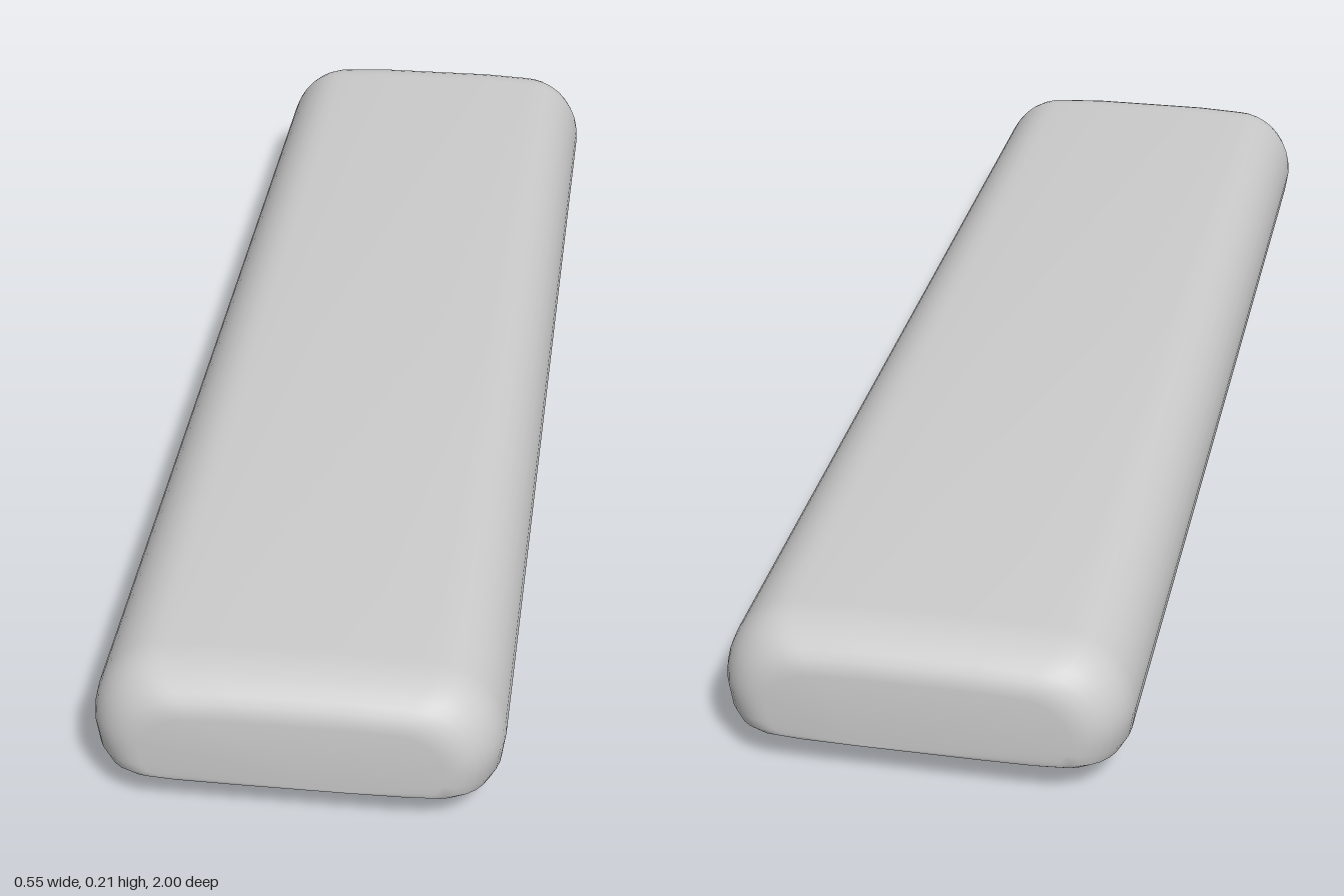
import * as THREE from 'three';
import { toCreasedNormals } from 'three/addons/utils/BufferGeometryUtils.js';

const material = new THREE.MeshStandardMaterial({ color: 0xcccccc });

// Closed loft through rings of [x, y, z], each counter-clockwise seen from +z, ordered by rising z
function loft(rings, crease) {
  const n = rings[0].length, pos = rings.flat(2), index = [];
  for (let i = 0; i < rings.length - 1; i++) {
    for (let j = 0; j < n; j++) {
      const k = (j + 1) % n, a = i * n + j, b = i * n + k;
      index.push(a, b, b + n, a, b + n, a + n);
    }
  }
  const last = (rings.length - 1) * n;
  for (let j = 1; j < n - 1; j++) {
    index.push(0, j + 1, j, last, last + j, last + j + 1);
  }
  const geo = new THREE.BufferGeometry();
  geo.setAttribute('position', new THREE.Float32BufferAttribute(pos, 3));
  geo.setIndex(index);
  return toCreasedNormals(geo, crease);
}

function addPart(group, name, geometry) {
  const mesh = new THREE.Mesh(geometry, material);
  mesh.name = name;
  group.add(mesh);
  return mesh;
}

// Half outline from bottom to top, mirrored into a full ring
function mirrored(half) {
  return [...half, ...half.slice().reverse().map(([x, y]) => [-x, y])];
}

// Slim bar: nearly flat top, round shoulders, tight lower edge, rounded ends
function bodyGeometry() {
  const half = [[0.1, 0.036], [0.2, 0.037], [0.245, 0.04], [0.262, 0.047], [0.272, 0.065]];
  for (let i = 0; i <= 9; i++) {
    const a = (i / 9) * Math.PI / 2;
    half.push([0.18 + 0.097 * Math.cos(a), 0.1 + 0.109 * Math.sin(a)]);
  }
  half.push([0.1, 0.213]);
  const outline = mirrored(half);
  const stations = [];
  for (let i = 0; i <= 8; i++) {
    const a = (i / 8) * Math.PI / 2;
    stations.push([-1 + 0.09 * (1 - Math.cos(a)), 1 - Math.sin(a)]);
  }
  const all = [...stations, ...stations.slice().reverse().map(([z, s]) => [-z, s])];
  return loft(all.map(([z, s]) => outline.map(([x, y]) => [
    x * (1 - 0.27 * s),
    0.1 + (y - 0.1) * (1 - (y > 0.1 ? 0.5 : 0.28) * s),
    z,
  ])), 0.5);
}

// Raised underside pad: stations of [z, lowest y, width scale]
function padGeometry(stations) {
  return loft(stations.map(([z, low, w]) => mirrored([
    [0.115 * w, low], [0.205 * w, low + 0.011], [0.262 * w, 0.05], [0.25 * w, 0.07],
  ]).map(([x, y]) => [x, y, z])), 0.2);
}

export function createModel() {
  const model = new THREE.Group();
  model.name = 'handset';
  addPart(model, 'body', bodyGeometry());

  // Deep pad under the front half
  addPart(model, 'frontUndersidePad', padGeometry([
    [0.24, 0.034, 0.96], [0.3, 0.016, 0.99], [0.4, 0.003, 1], [0.62, 0, 1],
    [0.86, 0.01, 1], [0.93, 0.022, 0.97], [0.98, 0.04, 0.84],
  ]));

  // Shallower pad in the middle
  addPart(model, 'middleUndersidePad', padGeometry([
    [-0.08, 0.037, 0.96], [0.02, 0.026, 0.99], [0.1, 0.023, 1], [0.25, 0.026, 1],
  ]));

  // Frame around the small window under the middle
  const frame = new THREE.Shape();
  frame.moveTo(-0.11, -0.08).lineTo(0.11, -0.08).lineTo(0.11, 0.08).lineTo(-0.11, 0.08).closePath();
  const hole = new THREE.Path();
  hole.moveTo(-0.085, -0.055).lineTo(-0.085, 0.055).lineTo(0.085, 0.055).lineTo(0.085, -0.055).closePath();
  frame.holes.push(hole);
  const frameGeo = new THREE.ExtrudeGeometry(frame, { depth: 0.018, bevelEnabled: false });
  frameGeo.rotateX(-Math.PI / 2);
  addPart(model, 'windowFrame', frameGeo).position.set(0, 0.018, 0.14);

  // Thin cover under the rear half
  const cover = addPart(model, 'rearCover', new THREE.BoxGeometry(0.38, 0.006, 0.76));
  cover.position.set(0, 0.037, -0.5);
  return model;
}
